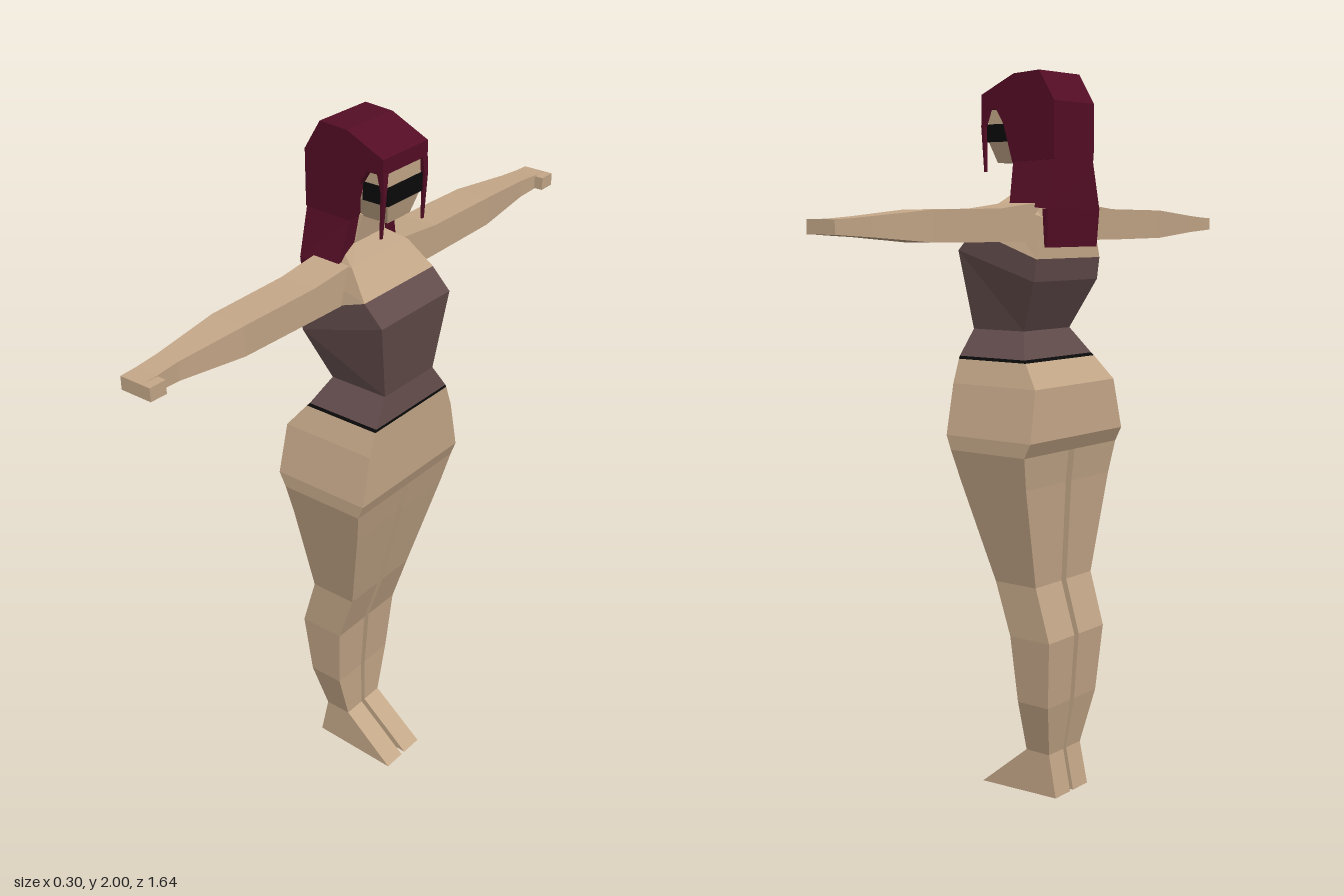
import * as THREE from 'three';

const CZ = 0.008; // centre line of the figure, which faces +x

const material = (name, color) => {
  const m = new THREE.MeshStandardMaterial({ color, flatShading: true });
  m.name = name;
  return m;
};

// Skin four-cornered rings into a closed, outward-facing faceted solid
function loft(rings) {
  const tris = [];
  const quad = (a, b, c, d) => tris.push([a, b, c], [a, c, d]);
  for (let i = 0; i < rings.length - 1; i++) {
    for (let k = 0; k < 4; k++) {
      const n = (k + 1) % 4;
      quad(rings[i][k], rings[i][n], rings[i + 1][n], rings[i + 1][k]);
    }
  }
  const last = rings[rings.length - 1];
  quad(rings[0][3], rings[0][2], rings[0][1], rings[0][0]);
  quad(last[0], last[1], last[2], last[3]);
  const v = tris.map(t => t.map(p => new THREE.Vector3(...p)));
  const volume = v.reduce((s, [a, b, c]) => s + a.dot(b.clone().cross(c)), 0);
  if (volume < 0) v.forEach(t => t.reverse());
  const g = new THREE.BufferGeometry().setFromPoints(v.flat());
  g.computeVertexNormals();
  return g;
}

// Ring from back and front points (x, y) and a z range
const ring = (xb, yb, xf, yf, z0, z1) =>
  [[xb, yb, z0], [xf, yf, z0], [xf, yf, z1], [xb, yb, z1]];
// Symmetric body ring
const body = ([xb, yb, xf, yf, h]) => ring(xb, yb, xf, yf, CZ - h, CZ + h);

export function createModel() {
  const root = new THREE.Group();
  root.name = 'figure';
  const skin = material('skin', 0xc4a788);
  const cloth = material('topCloth', 0x624c4b);
  const hair = material('hairRed', 0x540d25);
  const black = material('black', 0x0a0a0a);
  const add = (name, geometry, mat) => {
    const mesh = new THREE.Mesh(geometry, mat);
    mesh.name = name;
    root.add(mesh);
  };
  const addBody = (name, rows, mat) => add(name, loft(rows.map(body)), mat);

  // Trunk: hips, hem, fitted top, chest and neck
  const hem = [-0.092, 1.235, 0.14, 1.235, 0.156];
  const hemTop = [-0.085, 1.243, 0.14, 1.243, 0.152];
  const neckline = [-0.118, 1.51, 0.095, 1.585, 0.143];
  addBody('hips', [
    [-0.13, 0.99, 0.125, 0.99, 0.21],
    [-0.15, 1.03, 0.14, 1.03, 0.21],
    [-0.143, 1.17, 0.14, 1.17, 0.18],
    hem,
  ], skin);
  addBody('hem', [hem, hemTop], black);
  addBody('top', [
    hemTop,
    [-0.045, 1.315, 0.13, 1.315, 0.103],
    [-0.11, 1.45, 0.15, 1.53, 0.143],
    neckline,
  ], cloth);
  addBody('chestAndNeck', [
    neckline,
    [-0.115, 1.62, 0.033, 1.655, 0.115],
    [-0.07, 1.7, 0.0, 1.695, 0.06],
    [-0.06, 1.79, 0.015, 1.77, 0.05],
  ], skin);

  // Head and eye mask
  addBody('head', [
    [-0.03, 1.765, 0.09, 1.765, 0.045],
    [-0.06, 1.82, 0.105, 1.82, 0.065],
    [-0.06, 1.93, 0.105, 1.93, 0.068],
  ], skin);
  addBody('eyeMask', [
    [0.03, 1.82, 0.11, 1.82, 0.069],
    [0.035, 1.867, 0.11, 1.867, 0.071],
  ], black);

  // Hair cap: side profile extruded across the head
  const profile = [
    [-0.135, 1.77], [0.005, 1.765], [0.035, 1.865], [0.06, 1.905], [0.11, 1.905],
    [0.11, 1.945], [0.0, 1.995], [-0.085, 2.0], [-0.135, 1.92],
  ].map(p => new THREE.Vector2(...p));
  const cap = new THREE.ExtrudeGeometry(new THREE.Shape(profile), { depth: 0.178, bevelEnabled: false });
  cap.translate(0, 0, CZ - 0.089);
  add('hairCap', cap, hair);

  // Long hair flaring to the shoulders, and its thin tail down the back
  addBody('longHair', [
    [-0.135, 1.77, 0.005, 1.765, 0.085],
    [-0.135, 1.64, -0.008, 1.655, 0.117],
  ], hair);
  addBody('hairTail', [
    [-0.135, 1.64, -0.118, 1.64, 0.117],
    [-0.13, 1.54, -0.121, 1.54, 0.112],
  ], hair);

  for (const [side, s] of [['left', 1], ['right', -1]]) {
    // Leg and foot: back x, front x, y, inner and outer distance from centre
    const leg = [
      [-0.13, 0.125, 0.99, 0.014, 0.21],
      [-0.12, 0.105, 0.9, 0.013, 0.19],
      [-0.105, 0.035, 0.62, 0.011, 0.128],
      [-0.15, -0.015, 0.47, 0.01, 0.127],
      [-0.135, -0.03, 0.28, 0.009, 0.112],
      [-0.11, -0.03, 0.13, 0.007, 0.073],
    ].map(([xb, xf, y, i, o]) => ring(xb, y, xf, y, CZ + s * i, CZ + s * o));
    leg.push(ring(-0.135, 0.01, 0.128, 0, CZ + s * 0.007, CZ + s * 0.075));
    add(side + 'Leg', loft(leg), skin);

    // Outstretched arm: z, x range, y range
    const across = ([z, x0, x1, y0, y1]) =>
      [[x0, y0, s * z], [x1, y0, s * z], [x1, y1, s * z], [x0, y1, s * z]];
    add(side + 'Arm', loft([
      [0.09, -0.092, 0.022, 1.557, 1.658],
      [0.25, -0.09, 0.018, 1.556, 1.641],
      [0.5, -0.088, 0.015, 1.558, 1.638],
      [0.7, -0.07, -0.004, 1.573, 1.622],
      [0.77, -0.068, -0.002, 1.577, 1.617],
      [0.818, -0.068, -0.002, 1.58, 1.615],
    ].map(across)), skin);
    add(side + 'Thumb', loft([
      [0.768, -0.01, 0.024, 1.579, 1.615],
      [0.818, -0.01, 0.024, 1.58, 1.615],
    ].map(across)), skin);

    // Loose strand beside the face
    add(side + 'Strand', loft([
      ring(0.09, 1.91, 0.11, 1.91, CZ + s * 0.068, CZ + s * 0.089),
      ring(0.102, 1.86, 0.112, 1.86, CZ + s * 0.076, CZ + s * 0.089),
      ring(0.098, 1.74, 0.103, 1.74, CZ + s * 0.08, CZ + s * 0.088),
    ]), hair);
  }
  return root;
}
